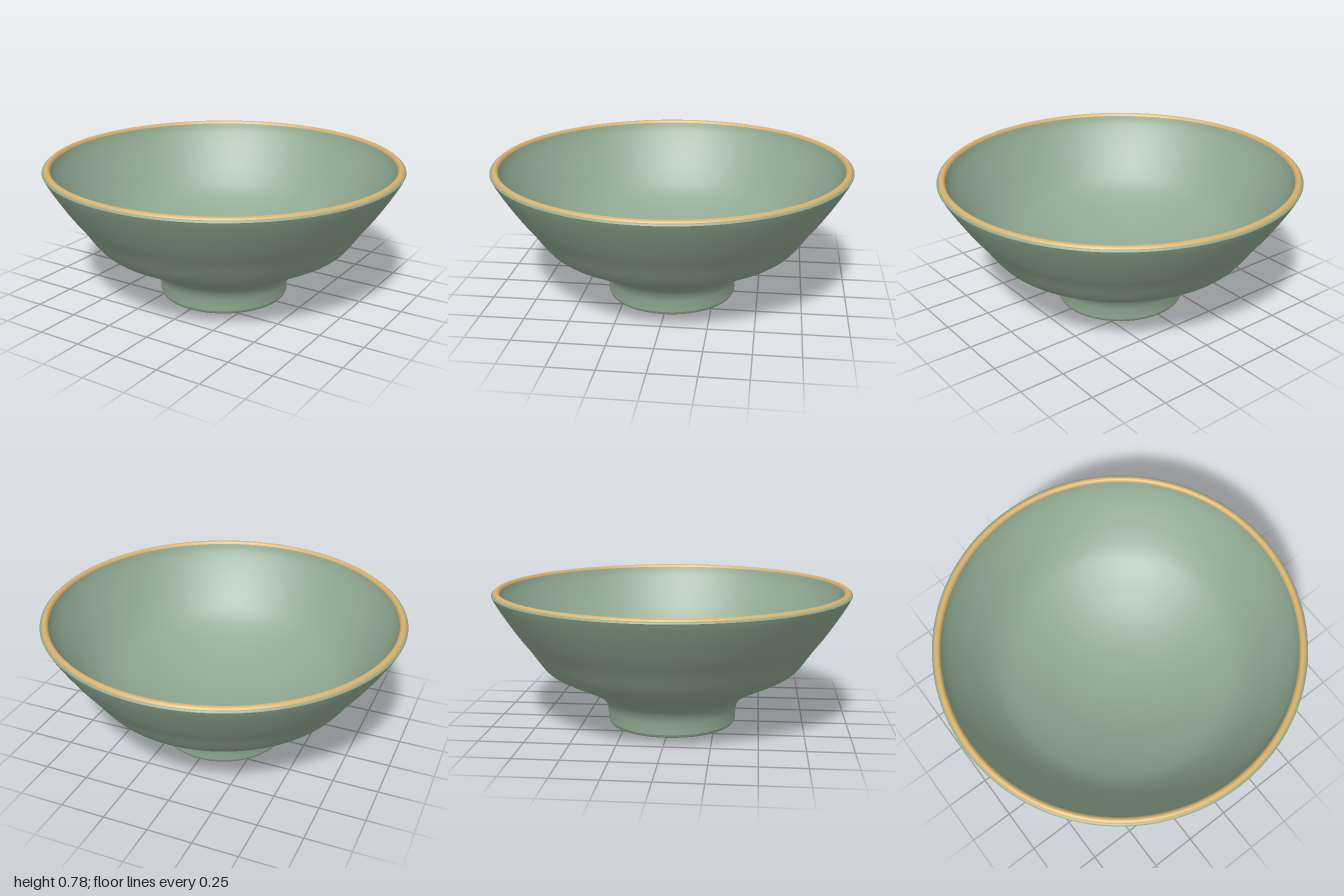
import * as THREE from 'three';

const SEGMENTS = 128;

// Smooth curve through [radius, height] points
function smooth(points, divisions) {
  return new THREE.SplineCurve(points.map(([r, y]) => new THREE.Vector2(r, y))).getPoints(divisions);
}

function turned(name, profile, material) {
  const mesh = new THREE.Mesh(new THREE.LatheGeometry(profile, SEGMENTS), material);
  mesh.name = name;
  return mesh;
}

export function createModel() {
  const glaze = new THREE.MeshStandardMaterial({ color: 0x8fa891 });
  glaze.name = 'celadon glaze';
  const gold = new THREE.MeshStandardMaterial({ color: 0xd6b06c });
  gold.name = 'gold';

  const bowl = new THREE.Group();
  bowl.name = 'bowl';

  // Recessed underside inside the foot
  bowl.add(turned('footRecess', smooth([[0, 0.07], [0.15, 0.07], [0.3, 0.07]], 6), glaze));
  bowl.add(turned('footInnerWall', smooth([[0.3, 0.07], [0.31, 0.035], [0.32, 0.012]], 6), glaze));

  // Rounded standing ring
  bowl.add(turned('footRing', smooth([[0.32, 0.012], [0.33, 0.002], [0.343, 0], [0.357, 0.004], [0.365, 0.02]], 16), glaze));

  // Outer wall: foot flares into the body, then rises to the lip
  bowl.add(turned('outerWall', smooth([
    [0.365, 0.02], [0.367, 0.06], [0.376, 0.11], [0.405, 0.158], [0.455, 0.193], [0.53, 0.235],
    [0.64, 0.29], [0.72, 0.342], [0.806, 0.46], [0.87, 0.545], [0.935, 0.643], [0.98, 0.718], [1, 0.757],
  ], 72), glaze));

  // Narrow glazed edge below the gilding
  bowl.add(turned('lipEdge', smooth([[1, 0.757], [0.997, 0.763], [0.99, 0.767]], 4), glaze));

  // Gilded rim
  bowl.add(turned('goldRim', smooth([
    [0.99, 0.767], [0.983, 0.775], [0.972, 0.779], [0.961, 0.775], [0.954, 0.764],
  ], 16), gold));

  // Inner wall and floor
  bowl.add(turned('innerWall', smooth([
    [0.954, 0.764], [0.938, 0.72], [0.9, 0.65], [0.845, 0.565], [0.775, 0.47], [0.695, 0.385],
    [0.6, 0.32], [0.48, 0.26], [0.34, 0.205], [0.18, 0.168], [0, 0.155],
  ], 72), glaze));

  return bowl;
}
